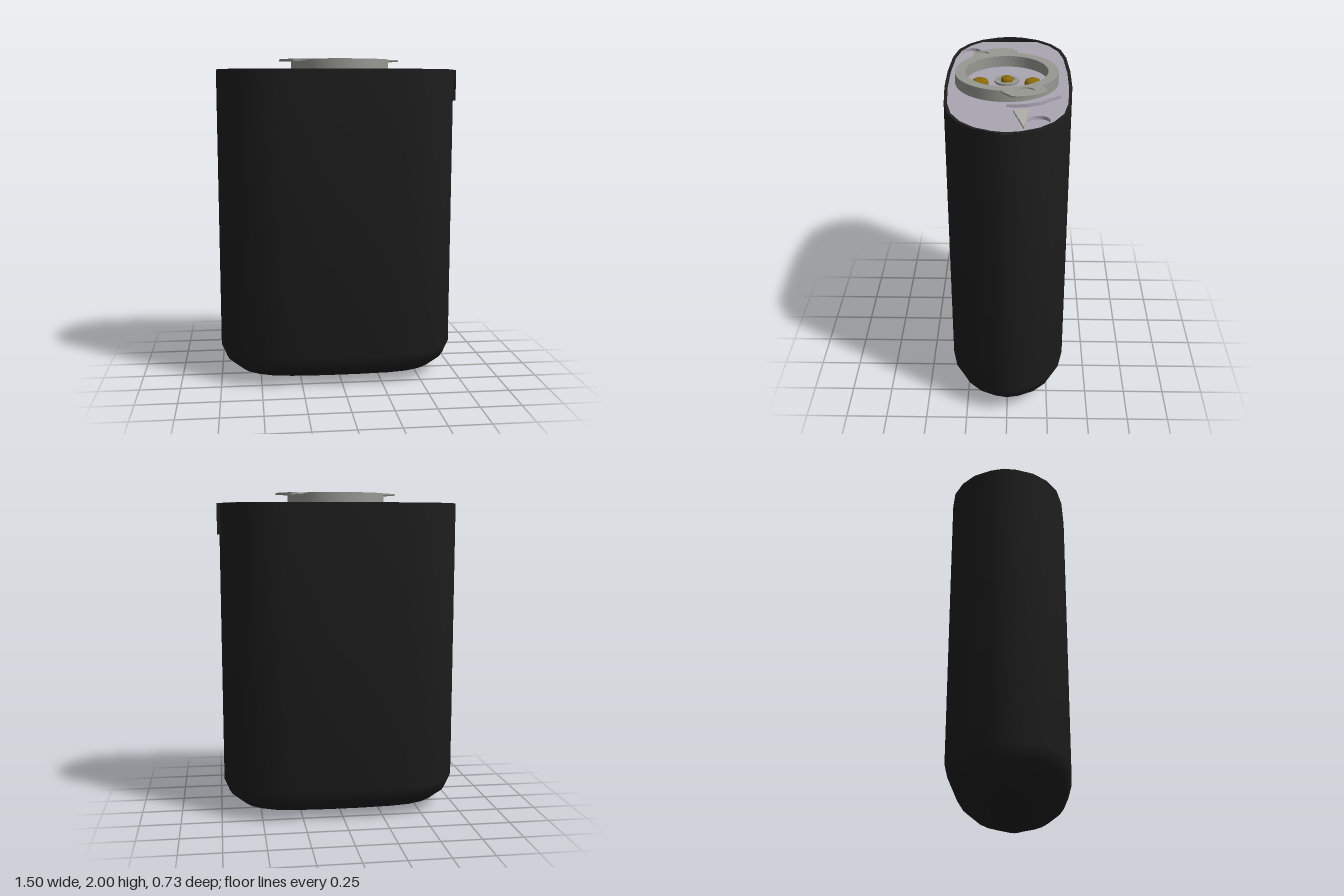
import * as THREE from 'three';
import { toCreasedNormals } from 'three/addons/utils/BufferGeometryUtils.js';

const CX = -0.01, TOP = 1.94, LID = 1.933;
const mat = (color, side = THREE.FrontSide) => new THREE.MeshStandardMaterial({ color, side });
const black = mat(0x1e1e1e), lidGrey = mat(0xa9a5b2), ringGrey = mat(0x989893);
const gold = mat(0x8a6a0c), silver = mat(0xb4b4be), pale = mat(0xb0b0ab);

// One quarter of the outline, mirrored into a closed loop running from +x to +z
const quarter = [[0.74, 0], [0.725, 0.08], [0.68, 0.18], [0.605, 0.26], [0.5, 0.32], [0.36, 0.35], [0.12, 0.365]];
const half = [...quarter, ...quarter.slice(1).reverse().map(([x, z]) => [-x, z])];
const outline = [...half, [-0.74, 0], ...half.slice(1).reverse().map(([x, z]) => [x, -z])];
const inset = (d) => outline.map(([x, z]) => [CX + x * (0.74 - d) / 0.74, z * (0.365 - d) / 0.365]);

// Skin between outline rows [inset, y]; null inset means a centre point
function loft(rows) {
  const pos = [], idx = [], n = outline.length;
  rows.forEach(([d, y]) => (d === null ? outline.map(() => [CX, 0]) : inset(d)).forEach(([x, z]) => pos.push(x, y, z)));
  for (let j = 0; j < rows.length - 1; j++) {
    for (let i = 0; i < n; i++) {
      const a = j * n + i, b = j * n + (i + 1) % n, c = a + n, d = b + n;
      if (rows[j][0] !== null) idx.push(a, c, b);
      if (rows[j + 1][0] !== null) idx.push(b, c, d);
    }
  }
  const g = new THREE.BufferGeometry();
  g.setAttribute('position', new THREE.Float32BufferAttribute(pos, 3));
  g.setIndex(idx);
  return toCreasedNormals(g, 0.8);
}

const poly = (pts) => new THREE.Shape(pts.map(([x, z]) => new THREE.Vector2(x, z)));
const circle = (x, z, r) => new THREE.Shape().absarc(x, z, r, 0, Math.PI * 2);

// Horizontal plate: shape in x,z with its upper face at y = top
function plate(shape, top, depth, holes = []) {
  shape.holes.push(...holes);
  const g = new THREE.ExtrudeGeometry(shape, { depth, bevelEnabled: false, curveSegments: 24 });
  g.rotateX(Math.PI / 2).translate(0, top, 0);
  return toCreasedNormals(g, 0.6);
}

export function createModel() {
  const group = new THREE.Group();
  const add = (name, geometry, material, x = 0, y = 0, z = 0) => {
    const m = new THREE.Mesh(geometry, material);
    m.name = name;
    m.position.set(x, y, z);
    group.add(m);
    return m;
  };

  // Casing: rounded bottom, straight walls, thin rim and inner wall
  add('casing', loft([[null, 0], [0.255, 0.008], [0.12, 0.05], [0.035, 0.12], [0, 0.2],
    [0, TOP], [0.018, TOP], [0.018, 1.72], [null, 1.72]]), black);
  add('sideKey', new THREE.BoxGeometry(0.035, 0.19, 0.06), black, 0.7275, 1.845, 0);

  // Lid, cut straight at the left end, with sunken pockets
  const cut = -0.67;
  const edge = inset(0.018).filter(([x]) => x > cut);
  const lidEdge = [];
  edge.forEach((p, i) => {
    lidEdge.push(p);
    const q = edge[(i + 1) % edge.length];
    if (p[0] < -0.5 && p[1] > 0 && q[1] < 0) lidEdge.push([cut, 0.175], [cut, -0.175]);
  });
  const pockets = [circle(0.55, -0.17, 0.06), circle(-0.49, 0.24, 0.06), circle(-0.49, 0, 0.044)];
  const channel = poly([[0.21, -0.3], [0.3, -0.29], [0.4, -0.26], [0.42, -0.24], [0.44, -0.18], [0.405, -0.15],
    [0.39, -0.09], [0.385, -0.02], [0.37, 0.01], [0.345, 0.005], [0.335, -0.1], [0.3, -0.19], [0.25, -0.24]]);
  add('lid', plate(poly(lidEdge), LID, 0.02, [...pockets, channel]), lidGrey);
  add('lidBase', plate(poly(lidEdge), LID - 0.02, 0.12), lidGrey);

  // Raised collar with two thin ears
  const cx = 0.01, cz = 0.01;
  add('collar', plate(circle(cx, cz, 0.3), 1.99, 0.07, [circle(cx, cz, 0.24)]), ringGrey);
  const holes = [[0.31, -0.1, 0.05], [-0.27, 0.16, 0.036]];
  const rim = [];
  const arc = (from, to) => {
    for (let i = 0; i <= 20; i++) {
      const a = THREE.MathUtils.degToRad(from + (to - from) * i / 20);
      rim.push([cx + 0.3 * Math.cos(a), cz + 0.3 * Math.sin(a)]);
    }
  };
  arc(5, 130);
  rim.push([-0.22, 0.22], [-0.29, 0.215], [-0.325, 0.16], [-0.355, 0.1], [-0.365, 0.05], [-0.362, -0.02]);
  arc(193, 317);
  rim.push([0.305, -0.22], [0.345, -0.18], [0.375, -0.12], [0.388, -0.05], [0.38, -0.02], [0.33, 0.025]);
  add('collarRim', plate(poly(rim), 2, 0.01,
    [circle(cx, cz, 0.24), ...holes.map((h) => circle(...h))]), ringGrey);
  holes.forEach(([x, z, r]) => add('earPlug', plate(circle(x, z, r), 1.993, 0.006), ringGrey));

  // Contacts: a domed pin in profile, turned on the lathe
  const dome = (r, h) => new THREE.LatheGeometry([[r, 0], [r, h * 0.4], [r * 0.9, h * 0.7], [r * 0.6, h * 0.92], [0, h]]
    .map(([x, y]) => new THREE.Vector2(x, y)), 24);
  [-0.14, 0.163].forEach((z) => add('sideContact', dome(0.047, 0.035), gold, 0.05, LID, z));
  add('centreCollar', plate(circle(cx, cz, 0.072), LID + 0.012, 0.02, [circle(cx, cz, 0.048)]), ringGrey);
  add('centreSocket', plate(circle(cx, cz, 0.05), LID + 0.004, 0.01), ringGrey);
  add('centreContact', dome(0.035, 0.035), gold, cx, LID, cz);
  add('stud', dome(0.036, 0.022), silver, -0.49, LID - 0.02, 0);

  // Raised pointer
  add('pointer', plate(poly([[0.44, -0.12], [0.665, -0.09], [0.44, -0.03]]), 1.946, 0.02), pale);
  return group;
}
